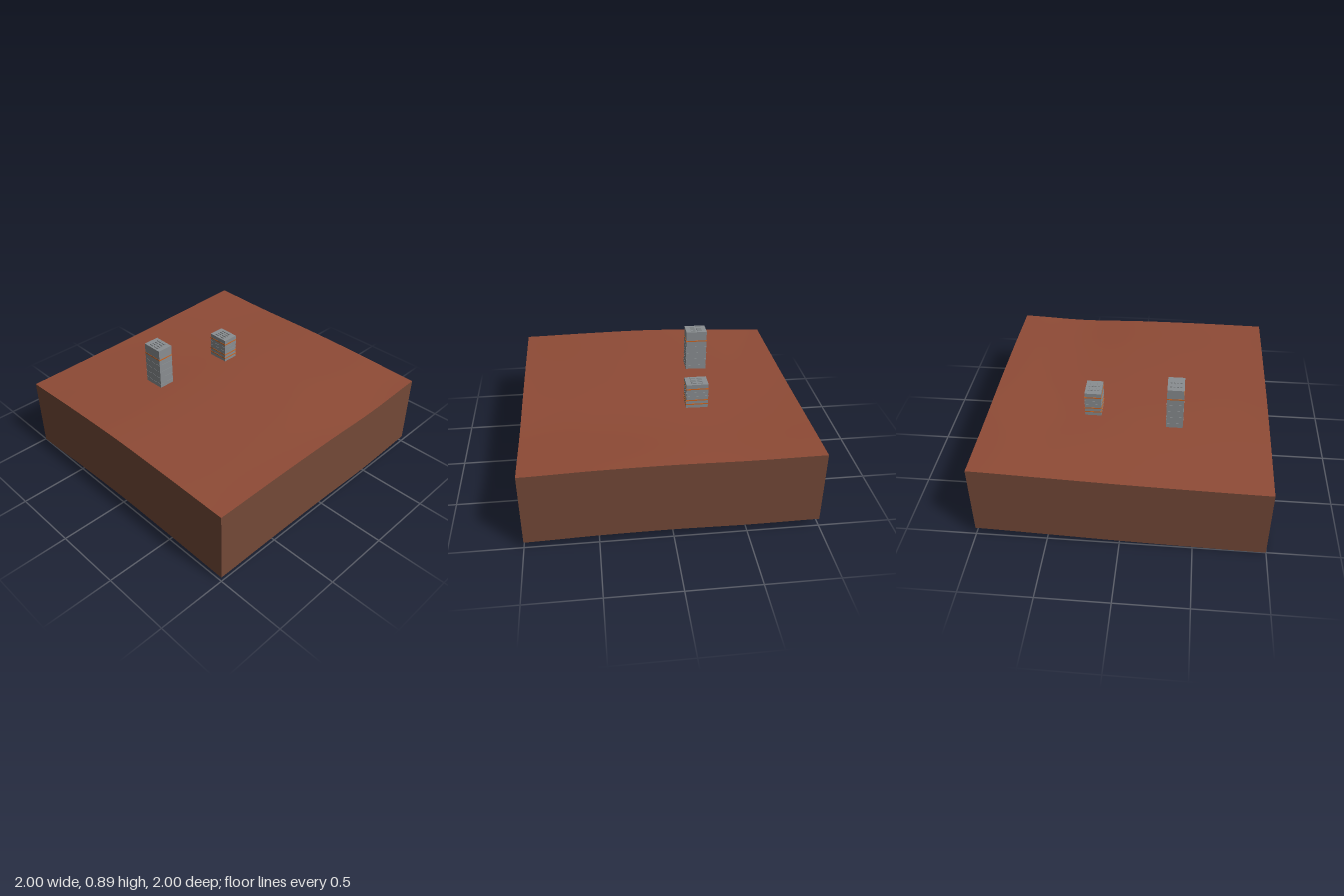
import * as THREE from 'three';

const THICK = 0.533, SEG = 32;

// Edge height profiles, evenly spaced from -1 to +1
const profile = (hs) => {
  const curve = new THREE.SplineCurve(hs.map((h, i) => new THREE.Vector2(i, h)));
  return (t) => curve.getPoint(t).y;
};
const front = profile([0.038, 0.042, 0.039, 0.027, 0.046]);
const back = profile([0.003, 0.012, 0.025, 0.043, 0.060]);
const left = profile([0.003, 0.030, 0.048, 0.046, 0.038]);
const right = profile([0.060, 0.057, 0.064, 0.060, 0.046]);

// Blend of the four edges; u runs along x, v along z
function ground(u, v) {
  return (1 - v) * back(u) + v * front(u) + (1 - u) * left(v) + u * right(v)
    - ((1 - u) * (1 - v) * back(0) + u * (1 - v) * back(1) + (1 - u) * v * front(0) + u * v * front(1));
}

// Grid surface from a rule; corners ordered so that d/ds x d/dt faces outward
function sheet(ns, nt, rule) {
  const pos = [], index = [];
  for (let j = 0; j <= nt; j++) for (let i = 0; i <= ns; i++) pos.push(...rule(i / ns, j / nt));
  for (let j = 0; j < nt; j++) for (let i = 0; i < ns; i++) {
    const a = j * (ns + 1) + i, b = a + 1, c = a + ns + 1, d = c + 1;
    index.push(a, b, d, a, d, c);
  }
  const g = new THREE.BufferGeometry();
  g.setAttribute('position', new THREE.Float32BufferAttribute(pos, 3));
  g.setIndex(index);
  g.computeVertexNormals();
  return g;
}

export function createModel() {
  const model = new THREE.Group();
  model.name = 'terrainWithTowers';
  const mat = (name, color, side = THREE.FrontSide) => {
    const m = new THREE.MeshStandardMaterial({ color, side });
    m.name = name;
    return m;
  };
  const soil = mat('red soil', 0x8f4b36, THREE.DoubleSide);
  const earth = mat('brown earth', 0x734837, THREE.DoubleSide);
  const concrete = mat('concrete grey', 0x8a8e91);
  const orange = mat('orange band', 0xcc6420);

  const add = (parent, name, geometry, material, x = 0, y = 0, z = 0) => {
    const mesh = new THREE.Mesh(geometry, material);
    mesh.name = name;
    mesh.position.set(x, y, z);
    parent.add(mesh);
  };

  // Rolling ground sheet
  add(model, 'groundSurface', sheet(SEG, SEG, (s, t) =>
    [s * 2 - 1, ground(s, 1 - t) + THICK, 1 - 2 * t]), soil);

  // Four skirt walls, open underneath
  const walls = {
    frontWall: (s) => [s, 1], backWall: (s) => [1 - s, 0],
    rightWall: (s) => [1, 1 - s], leftWall: (s) => [0, s],
  };
  for (const [name, edge] of Object.entries(walls)) {
    add(model, name, sheet(SEG, 1, (s, t) => {
      const [u, v] = edge(s);
      return [u * 2 - 1, ground(u, v) + t * THICK, v * 2 - 1];
    }), earth);
  }

  // Towers: shaft, floor bands, roof units
  const tower = (name, x, z, bottom, top, floors, stripes) => {
    const g = new THREE.Group();
    g.name = name;
    g.position.set(x, 0, z);
    const w = 0.117, d = 0.157;
    add(g, 'shaft', new THREE.BoxGeometry(w, top - bottom, d), concrete, 0, (top + bottom) / 2);
    for (const y of floors) add(g, 'floorBand', new THREE.BoxGeometry(w + 0.003, 0.005, d + 0.003), concrete, 0, y);
    for (const y of stripes) add(g, 'orangeBand', new THREE.BoxGeometry(w + 0.004, 0.008, d + 0.004), orange, 0, y);
    for (let i = 0; i < 4; i++) for (const side of [-1, 1]) {
      add(g, 'roofUnit', new THREE.BoxGeometry(0.014, 0.006, 0.035), concrete, (i - 1.5) * 0.023, top + 0.003, side * 0.024);
    }
    model.add(g);
  };
  tower('tallTower', -0.335, -0.333, 0.55, 0.891, [0.605, 0.66, 0.712, 0.765], [0.815]);
  tower('shortTower', 0.247, -0.25, 0.53, 0.765, [0.67, 0.70], [0.608, 0.64, 0.73]);

  return model;
}
